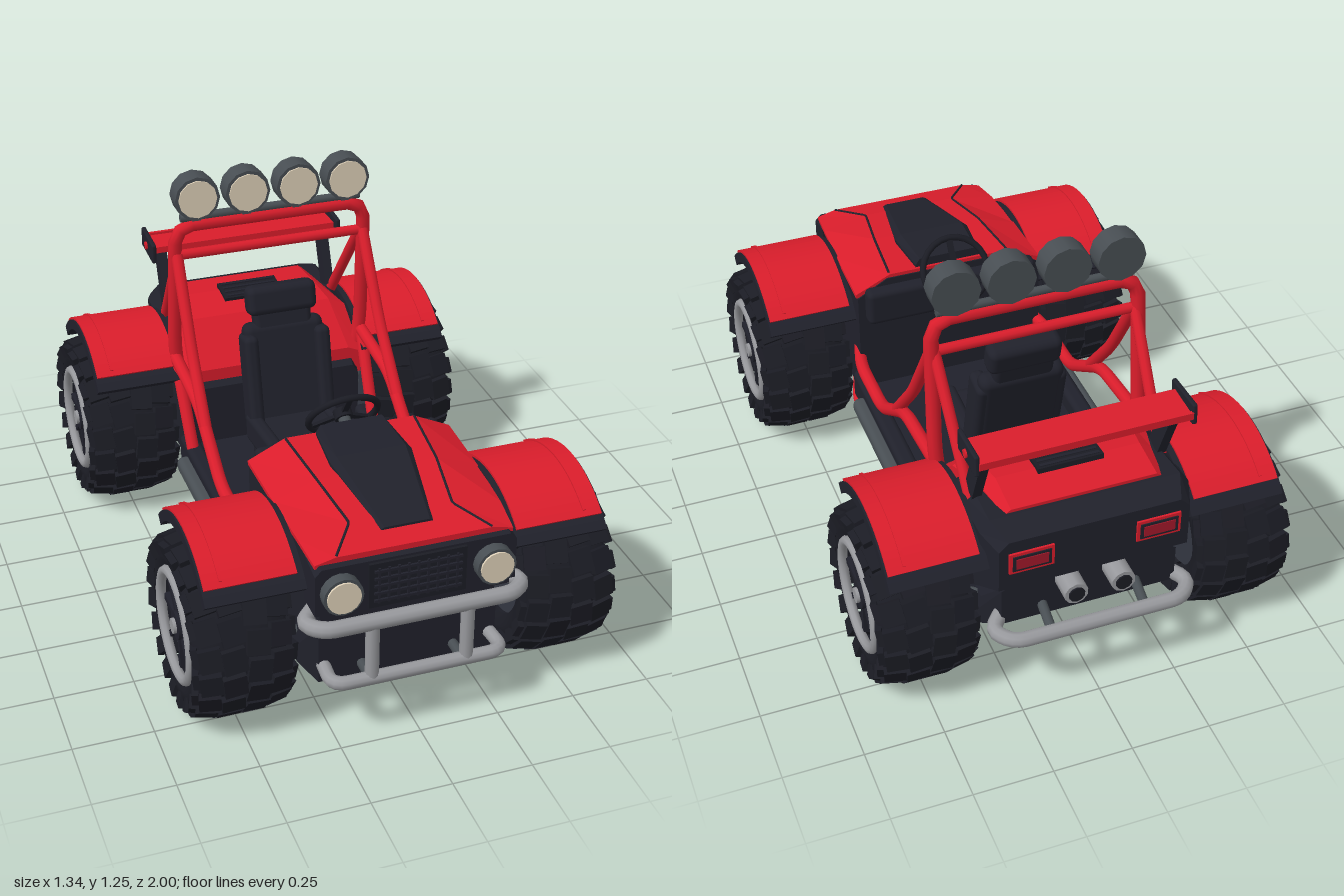
import * as THREE from 'three';
import { mergeGeometries } from 'three/addons/utils/BufferGeometryUtils.js';
import { RoundedBoxGeometry } from 'three/addons/geometries/RoundedBoxGeometry.js';

const mat = (name, color) => Object.assign(new THREE.MeshStandardMaterial({ color }), { name });
const V = (p) => new THREE.Vector3(...p);

export function createModel() {
  const root = new THREE.Group();
  root.name = 'buggy';
  const red = mat('red paint', 0xda1d2b), dark = mat('dark body', 0x20212b), rubber = mat('tyre rubber', 0x1b1c24);
  const silver = mat('silver metal', 0x98999d), gun = mat('gunmetal', 0x484e53), dish = mat('wheel dish', 0x343742);
  const cream = mat('lamp lens', 0xe0d2b9), tail = mat('tail lens', 0xa3182a);

  const add = (name, geo, m, pos = [0, 0, 0], rot = [0, 0, 0], parent = root) => {
    const mesh = new THREE.Mesh(geo, m);
    mesh.name = name;
    mesh.position.set(...pos);
    mesh.rotation.set(...rot);
    parent.add(mesh);
  };
  const box = (name, size, m, pos, rot, parent) => add(name, new THREE.BoxGeometry(...size), m, pos, rot, parent);
  const soft = (name, size, m, pos, rot, r = 0.02) => add(name, new RoundedBoxGeometry(...size, 2, r), m, pos, rot);
  const drum = (name, r, len, m, pos, sides = 16, parent = root) =>
    add(name, new THREE.CylinderGeometry(r, r, len, sides), m, pos, [Math.PI / 2, 0, 0], parent);

  // Bent pipe: straight runs joined by rounded corners
  const pipe = (name, pts, r, m, bend = 0.06) => {
    const p = pts.map(V), path = new THREE.CurvePath();
    let from = p[0];
    for (let i = 1; i < p.length - 1; i++) {
      const cut = (q) => p[i].clone().add(q.clone().sub(p[i]).setLength(Math.min(bend, q.distanceTo(p[i]) * 0.45)));
      const a = cut(p[i - 1]), b = cut(p[i + 1]);
      path.add(new THREE.LineCurve3(from, a));
      path.add(new THREE.QuadraticBezierCurve3(a, p[i], b));
      from = b;
    }
    path.add(new THREE.LineCurve3(from, p[p.length - 1]));
    add(name, new THREE.TubeGeometry(path, p.length > 2 ? 48 : 1, r, 10), m);
  };

  // Faceted body from rings [z, halfWidth, bottom, edgeY, shoulderX, topY], ordered back to front
  const loft = (name, rows, m) => {
    const rings = rows.map(([z, w, b, e, s, t]) =>
      [[w, b, z], [w, e, z], [s, t, z], [-s, t, z], [-w, e, z], [-w, b, z]]);
    const v = [], tri = (...q) => q.forEach((k) => v.push(...k));
    for (let i = 0; i < rings.length - 1; i++) for (let j = 0; j < 6; j++) {
      const k = (j + 1) % 6, A = rings[i], B = rings[i + 1];
      tri(A[j], A[k], B[j]);
      tri(A[k], B[k], B[j]);
    }
    const A = rings[0], B = rings[rings.length - 1];
    for (let j = 1; j < 5; j++) { tri(B[0], B[j], B[j + 1]); tri(A[0], A[j + 1], A[j]); }
    const g = new THREE.BufferGeometry();
    g.setAttribute('position', new THREE.Float32BufferAttribute(v, 3));
    g.computeVertexNormals();
    add(name, g, m);
  };

  // Floor pan and lower hull
  loft('floorPan', [[-0.89, 0.28, 0.27, 0.4, 0.25, 0.42], [-0.74, 0.3, 0.14, 0.2, 0.29, 0.25],
    [0.74, 0.3, 0.14, 0.2, 0.29, 0.25], [0.88, 0.28, 0.16, 0.36, 0.25, 0.42]], dark);
  box('skidPlate', [0.44, 0.01, 1.3], dark, [0, 0.137, 0]);
  // Front body, hood and scoop
  loft('frontBody', [[0.36, 0.325, 0.2, 0.62, 0.22, 0.68], [0.62, 0.32, 0.2, 0.61, 0.2, 0.66], [0.93, 0.295, 0.42, 0.575, 0.25, 0.59]], dark);
  loft('noseFrame', [[0.84, 0.31, 0.44, 0.595, 0.29, 0.61], [0.935, 0.31, 0.44, 0.575, 0.29, 0.597]], dark);
  loft('hood', [[0.365, 0.33, 0.622, 0.635, 0.21, 0.692], [0.6, 0.325, 0.617, 0.63, 0.19, 0.68],
    [0.8, 0.315, 0.607, 0.62, 0.16, 0.647], [0.915, 0.305, 0.59, 0.602, 0.24, 0.618]], red);
  loft('hoodScoop', [[0.375, 0.115, 0.66, 0.7, 0.1, 0.722], [0.55, 0.13, 0.66, 0.695, 0.11, 0.712],
    [0.85, 0.08, 0.61, 0.636, 0.07, 0.642]], dark);
  soft('dashboard', [0.6, 0.13, 0.06], dark, [0, 0.59, 0.35]);
  // Grille with slats
  box('grilleFrame', [0.3, 0.15, 0.02], rubber, [0, 0.515, 0.935]);
  for (let i = 0; i < 5; i++) box('grilleSlat', [0.27, 0.008, 0.012], dark, [0, 0.465 + i * 0.025, 0.946]);
  for (let i = -4; i <= 4; i++) box('grilleBar', [0.007, 0.12, 0.012], dark, [i * 0.03, 0.515, 0.944]);

  // Rear body, engine deck and tail
  loft('rearBody', [[-0.92, 0.3, 0.44, 0.59, 0.27, 0.62], [-0.84, 0.33, 0.4, 0.61, 0.3, 0.65],
    [-0.6, 0.33, 0.2, 0.6, 0.29, 0.63], [-0.4, 0.31, 0.2, 0.42, 0.29, 0.46]], dark);
  loft('engineDeck', [[-0.83, 0.25, 0.6, 0.645, 0.23, 0.66], [-0.7, 0.27, 0.6, 0.645, 0.23, 0.675],
    [-0.55, 0.31, 0.58, 0.625, 0.25, 0.655], [-0.42, 0.325, 0.42, 0.5, 0.28, 0.52]], red);
  box('engineVent', [0.21, 0.02, 0.1], rubber, [0, 0.673, -0.675], [0.12, 0, 0]);
  for (let i = 0; i < 4; i++) box('ventSlat', [0.19, 0.008, 0.01], dark, [0, 0.687 - i * 0.003, -0.71 + i * 0.024]);

  // Seat
  soft('seatBase', [0.25, 0.1, 0.26], dark, [0, 0.3, -0.13]);
  soft('seatCushion', [0.3, 0.09, 0.28], dark, [0, 0.385, -0.12], [-0.1, 0, 0], 0.03);
  soft('seatBack', [0.28, 0.36, 0.07], dark, [0, 0.56, -0.275], [-0.22, 0, 0], 0.03);
  soft('seatBackTop', [0.2, 0.14, 0.06], dark, [0, 0.73, -0.312], [-0.22, 0, 0]);
  soft('headrest', [0.24, 0.1, 0.075], dark, [0, 0.81, -0.325], [-0.22, 0, 0], 0.025);

  // Steering wheel
  const steering = new THREE.Group();
  steering.name = 'steeringWheel';
  steering.position.set(0, 0.7, 0.3);
  steering.rotation.x = Math.PI + 0.61;
  root.add(steering);
  add('steeringRim', new THREE.TorusGeometry(0.112, 0.011, 8, 24), rubber, [0, 0, 0], [0, 0, 0], steering);
  drum('steeringHub', 0.03, 0.03, rubber, [0, 0, 0], 12, steering);
  for (let i = 0; i < 3; i++) {
    const a = i * 2.0944 + 0.524;
    box('steeringSpoke', [0.11, 0.02, 0.01], rubber, [Math.cos(a) * 0.055, Math.sin(a) * 0.055, 0], [0, 0, a], steering);
  }
  pipe('steeringColumn', [[0, 0.7, 0.3], [0, 0.62, 0.42]], 0.02, gun);

  // Roll cage
  pipe('rollHoop', [[-0.29, 0.3, -0.475], [-0.335, 0.6, -0.46], [-0.328, 1.073, -0.42], [0.328, 1.073, -0.42],
    [0.335, 0.6, -0.46], [0.29, 0.3, -0.475]], 0.023, red, 0.07);
  pipe('upperCrossbar', [[-0.325, 0.967, -0.425], [0.325, 0.967, -0.425]], 0.017, red);
  add('lightBar', new THREE.CylinderGeometry(0.014, 0.014, 0.62, 10), gun, [0, 1.1, -0.42], [0, 0, Math.PI / 2]);

  for (const s of [-1, 1]) {
    pipe('sideRail', [[s * 0.3, 0.37, 0.45], [s * 0.335, 0.37, 0.33], [s * 0.335, 0.37, 0.08], [s * 0.335, 0.545, -0.17],
      [s * 0.335, 0.575, -0.46]], 0.021, red);
    pipe('frontBrace', [[s * 0.335, 0.5, -0.09], [s * 0.33, 0.69, -0.25], [s * 0.325, 0.97, -0.42]], 0.02, red);
    pipe('rearStay', [[s * 0.32, 0.98, -0.42], [s * 0.305, 0.59, -0.71]], 0.018, red);
    pipe('lowerBrace', [[s * 0.325, 0.22, -0.25], [s * 0.335, 0.58, -0.45]], 0.021, red);
    pipe('lowerRail', [[s * 0.3, 0.205, 0.5], [s * 0.35, 0.205, 0.36], [s * 0.35, 0.205, -0.18], [s * 0.33, 0.235, -0.26]], 0.014, red);
    pipe('hoodSeam', [[s * 0.21, 0.692, 0.37], [s * 0.19, 0.68, 0.6], [s * 0.16, 0.647, 0.8], [s * 0.24, 0.618, 0.913]], 0.004, dark, 0.01);
    // Sills and side steps
    soft('sill', [0.06, 0.11, 0.78], dark, [s * 0.32, 0.255, 0]);
    soft('sideStep', [0.055, 0.055, 0.58], gun, [s * 0.36, 0.25, -0.01], [0, 0, 0], 0.022);
    // Seat bolsters
    soft('seatBolster', [0.05, 0.32, 0.1], dark, [s * 0.125, 0.55, -0.255], [-0.22, 0, 0]);
    soft('cushionBolster', [0.05, 0.1, 0.27], dark, [s * 0.13, 0.4, -0.11], [-0.1, 0, 0]);
    // Headlamps, roof lamps and tail lamps
    drum('headlampRim', 0.061, 0.06, gun, [s * 0.235, 0.515, 0.94]);
    drum('headlampLens', 0.052, 0.008, cream, [s * 0.235, 0.515, 0.972]);
    for (const x of [0.087, 0.258]) {
      drum('roofLampHousing', 0.076, 0.07, gun, [s * x, 1.175, -0.42], 12);
      drum('roofLampLens', 0.065, 0.008, cream, [s * x, 1.175, -0.384], 12);
      box('roofLampBracket', [0.03, 0.03, 0.03], gun, [s * x, 1.105, -0.42]);
    }
    box('tailLampFrame', [0.14, 0.075, 0.012], red, [s * 0.2, 0.54, -0.921]);
    box('tailLampInset', [0.12, 0.055, 0.009], dark, [s * 0.2, 0.54, -0.926]);
    box('tailLampLens', [0.1, 0.037, 0.008], tail, [s * 0.2, 0.54, -0.929]);
    drum('exhaustPipe', 0.038, 0.1, silver, [s * 0.075, 0.4, -0.92], 10);
    drum('exhaustOpening', 0.026, 0.008, rubber, [s * 0.075, 0.4, -0.971], 10);
    // Wing mounts and end plates
    box('wingMount', [0.03, 0.21, 0.06], dark, [s * 0.295, 0.74, -0.73], [-0.38, 0, 0]);
    soft('wingEndPlate', [0.016, 0.07, 0.15], dark, [s * 0.335, 0.855, -0.765], [0.06, 0, 0], 0.006);
    add('wingBolt', new THREE.CylinderGeometry(0.014, 0.014, 0.008, 10), red, [s * 0.345, 0.855, -0.765], [0, 0, Math.PI / 2]);
    // Bumper uprights and mounts
    pipe('guardUpright', [[s * 0.148, 0.21, 0.973], [s * 0.148, 0.415, 0.973]], 0.021, silver);
    pipe('guardMount', [[s * 0.145, 0.2, 0.97], [s * 0.145, 0.2, 0.82]], 0.016, gun);
    pipe('rearBumperMount', [[s * 0.15, 0.275, -0.97], [s * 0.15, 0.33, -0.84]], 0.016, gun);
  }
  box('wing', [0.66, 0.022, 0.12], red, [0, 0.852, -0.775], [-0.04, 0, 0]);
  box('wingFlap', [0.66, 0.024, 0.012], red, [0, 0.857, -0.835]);

  // Bumpers
  pipe('frontBumper', [[-0.28, 0.415, 0.85], [-0.345, 0.415, 0.92], [-0.295, 0.415, 0.975], [0.295, 0.415, 0.975],
    [0.345, 0.415, 0.92], [0.28, 0.415, 0.85]], 0.025, silver, 0.04);
  pipe('lowerGuard', [[-0.26, 0.215, 0.84], [-0.27, 0.215, 0.975], [0.27, 0.215, 0.975], [0.26, 0.215, 0.84]], 0.021, silver, 0.05);
  pipe('rearBumper', [[-0.25, 0.29, -0.84], [-0.32, 0.275, -0.91], [-0.27, 0.275, -0.976], [0.27, 0.275, -0.976],
    [0.32, 0.275, -0.91], [0.25, 0.29, -0.84]], 0.024, silver, 0.04);

  // Tyre tread: four block rows plus shoulder lugs
  const blocks = [];
  const N = 20;
  for (let i = 0; i < N; i++) for (const side of [-1, 1]) {
    const rows = [[0.037, 0.2785, 0.07, 0.02, 0, 0.075], [0.105, 0.267, 0.066, 0.024, 0.2, 0.071], [0.142, 0.237, 0.02, 0.044, 0.3, 0.055]];
    rows.forEach(([x, r, w, h, tilt, len], n) => {
      const g = new THREE.BoxGeometry(w, h, len);
      g.rotateY(side * 0.12);
      g.rotateZ(-side * tilt);
      g.translate(side * x, r, 0);
      g.rotateX(((i + (side > 0 ? 0.5 : 0) + n * 0.12) / N) * Math.PI * 2);
      blocks.push(g);
    });
  }
  const tread = mergeGeometries(blocks);
  const half = [[0.165, 0.125], [0.2, 0.145], [0.232, 0.145], [0.258, 0.122], [0.272, 0.05]];
  const profile = [...half.map(([r, y]) => [r, -y]), ...half.reverse()].map((p) => new THREE.Vector2(...p));
  const tyre = new THREE.LatheGeometry(profile, 32).rotateZ(-Math.PI / 2);
  const disc = (r, len) => new THREE.CylinderGeometry(r, r, len, 24).rotateZ(Math.PI / 2);

  // Fender arc, extruded across the wheel
  const arc = (name, ri, ro, deg, x0, x1, s, z, m) => {
    const a = THREE.MathUtils.degToRad(deg), sh = new THREE.Shape();
    sh.absarc(0, 0, ro, a, Math.PI - a, false);
    sh.absarc(0, 0, ri, Math.PI - a, a, true);
    const g = new THREE.ExtrudeGeometry(sh, { depth: x1 - x0, bevelEnabled: false, curveSegments: 10 });
    add(name, g, m, [s > 0 ? x0 : -x1, 0.29, z], [0, Math.PI / 2, 0]);
  };

  for (const z of [0.645, -0.645]) for (const s of [-1, 1]) {
    const wheel = new THREE.Group();
    wheel.name = 'wheel';
    wheel.position.set(s * 0.508, 0.29, z);
    wheel.rotation.y = s > 0 ? 0 : Math.PI;
    root.add(wheel);
    const part = (name, g, m, x = 0, rot = [0, 0, 0]) => add(name, g, m, [x, 0, 0], rot, wheel);
    part('tyre', tyre, rubber);
    part('tread', tread, rubber);
    part('wheelDish', disc(0.168, 0.22), dish);
    part('rimRing', new THREE.TorusGeometry(0.167, 0.016, 8, 32), silver, 0.138, [0, Math.PI / 2, 0]);
    for (let i = 0; i < 8; i++) {
      const spoke = new THREE.BoxGeometry(0.025, 0.135, 0.02).translate(0, 0.09, 0).rotateX((i * Math.PI) / 4);
      part('spoke', spoke, dark, 0.118);
    }
    part('hub', disc(0.045, 0.03), dark, 0.125);
    part('hubCap', disc(0.024, 0.03), silver, 0.135);

    arc('fender', 0.332, 0.35, 50, 0.34, 0.616, s, z, red);
    arc('fenderLip', 0.308, 0.342, 42, 0.32, 0.622, s, z, dark);
    arc('fenderRib', 0.345, 0.355, 53, 0.558, 0.568, s, z, red);

    // Suspension arms and spring
    for (const d of [-0.09, 0.09]) {
      pipe('lowerArm', [[s * 0.24, 0.23, z + d], [s * 0.4, 0.25, z]], 0.014, gun);
      pipe('upperArm', [[s * 0.26, 0.38, z + d], [s * 0.4, 0.34, z]], 0.012, gun);
    }
    pipe('axle', [[s * 0.2, 0.29, z], [s * 0.42, 0.29, z]], 0.024, gun);
    pipe('spring', [[s * 0.355, 0.24, z + 0.03], [s * 0.29, 0.5, z + 0.03]], 0.022, red);
  }
  return root;
}
